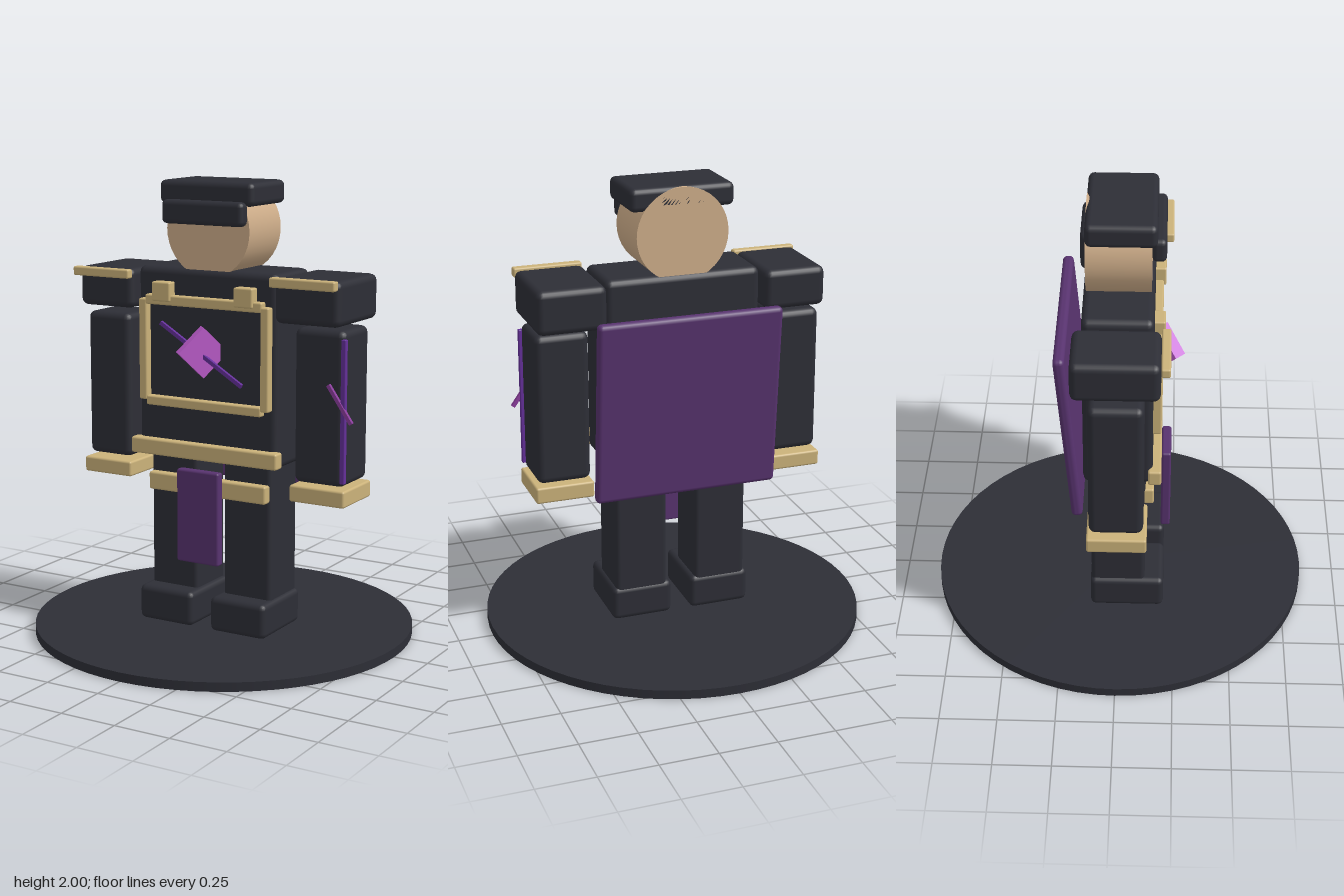
import * as THREE from 'three';
import { RoundedBoxGeometry } from 'three/addons/geometries/RoundedBoxGeometry.js';

const mat = (name, color) => {
  const m = new THREE.MeshStandardMaterial({ color });
  m.name = name;
  return m;
};

export function createModel() {
  const black = mat('charcoal black', 0x2d2e36);
  const gold = mat('pale gold', 0xcbb27a);
  const skin = mat('skin', 0xcfae8a);
  const purple = mat('deep purple', 0x58336f);
  const violet = mat('violet', 0x65309a);
  const orchid = mat('orchid', 0xc05ed0);
  const plum = mat('plum', 0x8a3c9c);

  const model = new THREE.Group();
  const add = (name, geometry, material, x, y, z) => {
    const mesh = new THREE.Mesh(geometry, material);
    mesh.name = name;
    mesh.position.set(x, y, z);
    model.add(mesh);
    return mesh;
  };
  // Soft-edged block given by its extents on each axis
  const block = (name, material, [x0, x1], [y0, y1], [z0, z1], r = 0.02) => {
    const w = x1 - x0, h = y1 - y0, d = z1 - z0;
    return add(name, new RoundedBoxGeometry(w, h, d, 2, r), material,
      (x0 + x1) / 2, (y0 + y1) / 2, (z0 + z1) / 2);
  };

  // Display base
  add('base', new THREE.CylinderGeometry(0.845, 0.845, 0.04, 64), black, 0, 0.02, 0);

  // Legs and feet
  for (const s of [-1, 1]) {
    const span = (a, b) => (s > 0 ? [a, b] : [-b, -a]);
    const side = s > 0 ? 'left' : 'right';
    block(side + 'Foot', black, span(0.045, 0.32), [0.04, 0.195], [-0.125, 0.205], 0.025);
    block(side + 'Leg', black, span(0.067, 0.303), [0.15, 0.8], [-0.12, 0.12]);
    block(side + 'Clasp', gold, span(0.158, 0.25), [1.48, 1.565], [0.14, 0.195], 0.008);
    block(side + 'FrameBar', gold, span(0.283, 0.323), [1.04, 1.487], [0.14, 0.185], 0.008);
  }

  // Arms, shoulders, cuffs: the left set is slightly larger
  block('rightArm', black, [-0.643, -0.42], [0.75, 1.4], [-0.115, 0.115], 0.03);
  block('leftArm', black, [0.41, 0.647], [0.74, 1.405], [-0.118, 0.118], 0.03);
  block('rightShoulder', black, [-0.637, -0.36], [1.435, 1.61], [-0.185, 0.18], 0.03);
  block('leftShoulder', black, [0.347, 0.652], [1.425, 1.617], [-0.187, 0.185], 0.03);
  block('rightShoulderTrim', gold, [-0.645, -0.355], [1.57, 1.61], [0.18, 0.218], 0.008);
  block('leftShoulderTrim', gold, [0.345, 0.65], [1.58, 1.622], [0.185, 0.226], 0.008);
  block('rightCuff', gold, [-0.658, -0.41], [0.663, 0.732], [-0.125, 0.13], 0.01);
  block('leftCuff', gold, [0.4, 0.66], [0.657, 0.73], [-0.127, 0.135], 0.01);

  // Torso with belt, hip band and chest frame
  block('torso', black, [-0.347, 0.345], [0.785, 1.625], [-0.15, 0.15], 0.03);
  block('belt', gold, [-0.368, 0.365], [0.795, 0.867], [0.13, 0.188], 0.01);
  block('hipBand', gold, [-0.295, 0.295], [0.63, 0.71], [0.105, 0.157], 0.01);
  block('frameTop', gold, [-0.29, 0.29], [1.463, 1.507], [0.14, 0.185], 0.008);
  block('frameBottom', gold, [-0.287, 0.287], [1.018, 1.06], [0.14, 0.185], 0.008);

  // Diamond chest gem turned on edge, with a slanted rod behind it
  const gem = add('chestGem', new THREE.BoxGeometry(0.155, 0.155, 0.055), orchid, 0, 1.275, 0.183);
  gem.rotation.set(0, Math.PI / 4, Math.PI / 4);
  const rod = add('chestRod', new THREE.BoxGeometry(0.47, 0.017, 0.015), violet, 0.002, 1.268, 0.198);
  rod.rotation.z = -0.545;

  // Accents on the left arm
  block('armStripe', violet, [0.635, 0.657], [0.76, 1.372], [0.106, 0.128], 0.004);
  const slash = add('armSlash', new THREE.BoxGeometry(0.19, 0.016, 0.016), plum, 0.633, 1.1, 0.127);
  slash.rotation.z = -0.96;

  // Cloth: hanging front panel and tilted cape
  block('frontPanel', purple, [-0.105, 0.105], [0.345, 0.76], [0.188, 0.23], 0.01);
  const cape = block('cape', purple, [-0.412, 0.412], [0.647, 1.473], [-0.232, -0.183], 0.02);
  cape.rotation.x = -0.083;

  // Head and cap
  const head = add('head', new THREE.CylinderGeometry(0.204, 0.204, 0.272, 40), skin, 0, 1.793, -0.001);
  head.rotation.x = Math.PI / 2;
  block('capCrown', black, [-0.232, 0.23], [1.9, 2], [-0.137, 0.158], 0.025);
  block('capPeak', black, [-0.2, 0.2], [1.817, 1.92], [0.135, 0.195], 0.022);

  return model;
}
